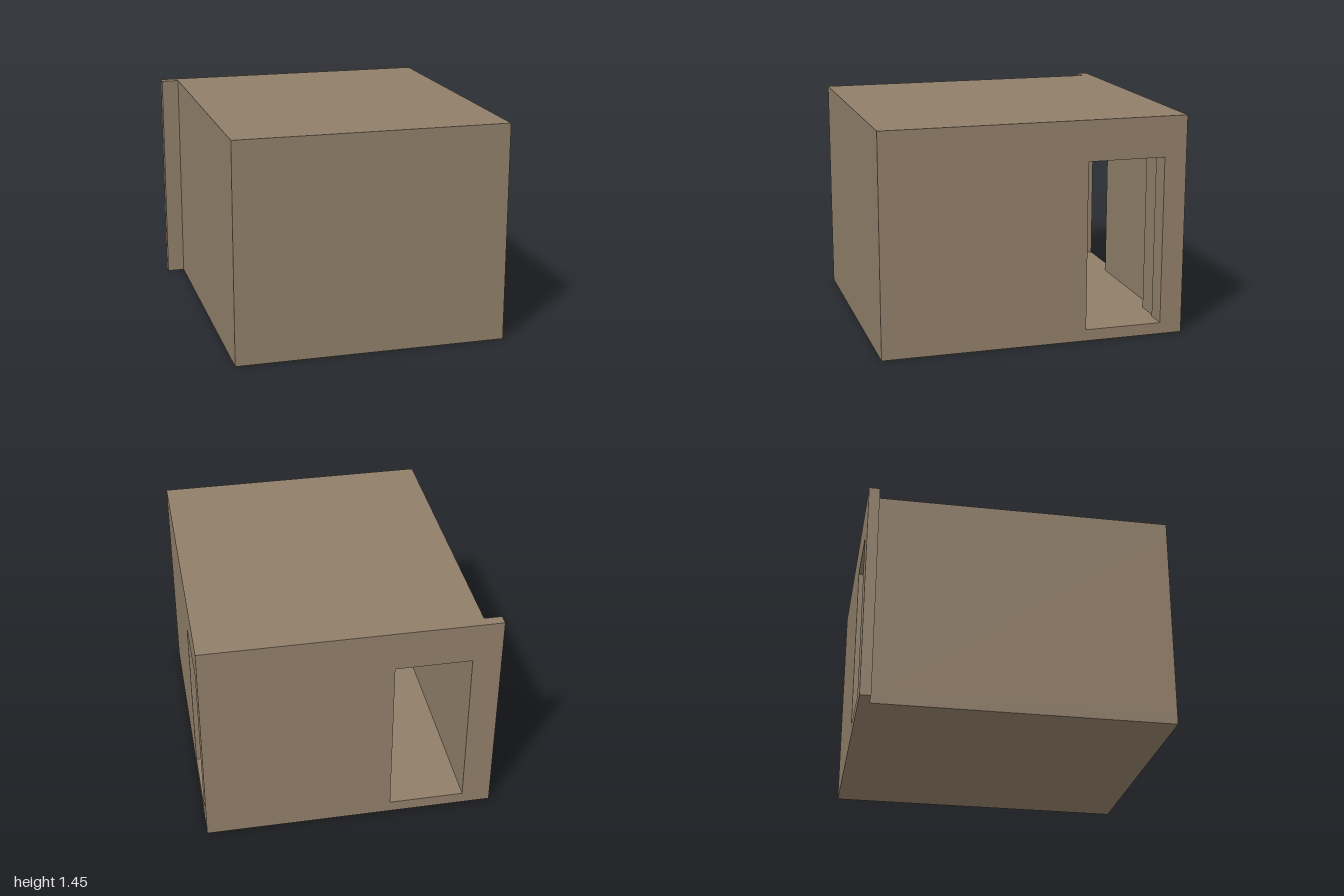
import * as THREE from 'three';

// Main levels and wall lines
const H = 1.445, FLOOR = 0.075, CEIL = 1.375, DOOR = 1.18;
const L = 0.95, R = -0.835;          // outer side faces
const L_IN = 0.81, R_IN = -0.762;    // inner side faces
const BACK_IN = -0.93, LINING = -0.865, FRONT_IN = 0.86;

export function createModel() {
  const model = new THREE.Group();
  model.name = 'room';
  const brown = new THREE.MeshStandardMaterial({ color: 0x907e69 });
  brown.name = 'brown plaster';

  // Box from its extents along x, y and z
  const block = (name, [x0, x1], [y0, y1], [z0, z1]) => {
    const mesh = new THREE.Mesh(new THREE.BoxGeometry(x1 - x0, y1 - y0, z1 - z0), brown);
    mesh.name = name;
    mesh.position.set((x0 + x1) / 2, (y0 + y1) / 2, (z0 + z1) / 2);
    model.add(mesh);
  };

  // Floor and roof slabs
  block('floor', [R, L], [0, FLOOR], [BACK_IN, 1]);
  block('roof', [R, L], [CEIL, H], [BACK_IN, 1]);

  // Closed walls
  const wallY = [FLOOR, CEIL];
  block('frontWall', [R_IN, L_IN], wallY, [FRONT_IN, 1]);
  block('rightWall', [R, R_IN], wallY, [BACK_IN, 1]);

  // Left wall with its doorway
  block('leftWallFront', [L_IN, L], wallY, [-0.34, 1]);
  block('leftWallRear', [L_IN, L], wallY, [BACK_IN, -0.852]);
  block('leftDoorLintel', [L_IN, L], [DOOR, CEIL], [-0.852, -0.34]);

  // Back wall with a doorway, running on past the right wall as a short fin
  const back = new THREE.Shape([[-0.95, 0], [L, 0], [L, H], [-0.95, H]].map(p => new THREE.Vector2(...p)));
  back.holes.push(new THREE.Path(
    [[R_IN, FLOOR], [R_IN, DOOR], [-0.27, DOOR], [-0.27, FLOOR]].map(p => new THREE.Vector2(...p))));
  const backWall = new THREE.Mesh(
    new THREE.ExtrudeGeometry(back, { depth: 1 + BACK_IN, bevelEnabled: false }), brown);
  backWall.name = 'backWall';
  backWall.position.z = -1;
  model.add(backWall);

  // Inner lining of the back wall: a pier and a long lintel
  block('backLiningPier', [0.62, L_IN], wallY, [BACK_IN, LINING]);
  block('backLiningLintel', [R_IN, 0.62], [DOOR, CEIL], [BACK_IN, LINING]);

  return model;
}
